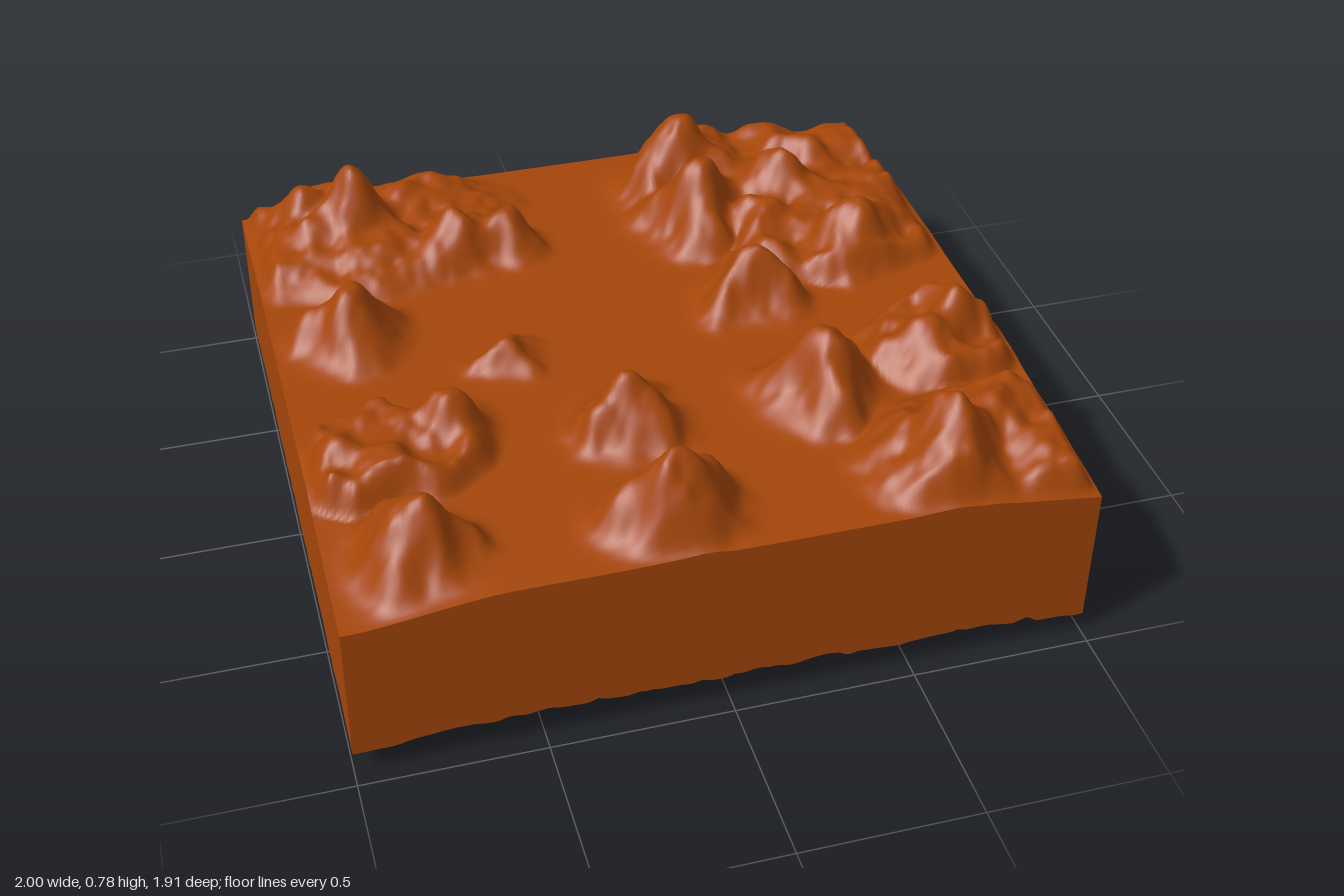
import * as THREE from 'three';

const W = 2, D = 1.91, FLOOR = 0.52;

// Main summits: x, z, top height
const SUMMITS = [
  [-0.69, -0.69, 0.77], [-0.83, -0.80, 0.69], [-0.40, -0.53, 0.67], [-0.26, -0.53, 0.65],
  [-0.78, -0.17, 0.71], [0.34, -0.76, 0.77], [0.33, -0.50, 0.75], [0.60, -0.55, 0.70],
  [0.72, -0.25, 0.71], [0.36, -0.08, 0.70], [-0.37, 0.04, 0.60], [-0.12, 0.41, 0.71],
  [-0.11, 0.82, 0.755], [0.41, 0.40, 0.74], [0.86, 0.23, 0.70], [0.73, 0.33, 0.66],
  [0.63, 0.77, 0.75], [-0.78, 0.76, 0.73], [-0.61, 0.31, 0.67], [-0.90, 0.38, 0.61],
  [-0.52, -0.82, 0.62], [0.76, -0.75, 0.65], [0.82, 0.66, 0.65], [0.50, -0.40, 0.65],
];

// Rough uplands around the valleys: x, z, radius x, radius z
const UPLANDS = [
  [-0.68, -0.72, 0.52, 0.36], [0.70, -0.68, 0.50, 0.44], [0.70, -0.28, 0.34, 0.20],
  [0.74, 0.76, 0.36, 0.30], [0.82, 0.28, 0.26, 0.20], [-0.80, 0.37, 0.32, 0.19],
];

const smooth = THREE.MathUtils.smoothstep;

// Seeded lattice noise, 0 to 1
function hash(i, j) {
  let h = Math.imul(i, 374761393) + Math.imul(j, 668265263) + 1274126177;
  h = Math.imul(h ^ (h >>> 13), 1103515245);
  return ((h ^ (h >>> 16)) >>> 0) / 4294967296;
}

function noise(x, z) {
  const i = Math.floor(x), j = Math.floor(z);
  const u = smooth(x - i, 0, 1), v = smooth(z - j, 0, 1);
  const a = hash(i, j) + (hash(i + 1, j) - hash(i, j)) * u;
  const b = hash(i, j + 1) + (hash(i + 1, j + 1) - hash(i, j + 1)) * u;
  return a + (b - a) * v;
}

const rough = (x, z, f) =>
  noise(x * f, z * f) * 0.65 + noise(x * f * 2 + 31, z * f * 2 + 17) * 0.27 + noise(x * f * 4 + 7, z * f * 4 + 53) * 0.08;

// Rounded lumps parted by creases, 0 to 1
const billow = (x, z, f) => Math.abs(noise(x * f + 40, z * f + 40) * 2 - 1);

// Each summit is a rounded knob, wider when taller, with three lower shoulders around it
const hills = [];
SUMMITS.forEach(([x, z, top], i) => {
  const h = top - FLOOR, r = 0.04 + 0.32 * h;
  hills.push({ x, z, h, r });
  for (let k = 0; k < 3; k++) {
    const angle = (hash(i, 100) + k / 3) * Math.PI * 2;
    hills.push({ x: x + Math.cos(angle) * r, z: z + Math.sin(angle) * r, h: h * (0.3 + 0.3 * hash(i, k)), r: r * 0.65 });
  }
});

const edgeDistance = (x, z) => Math.min(W / 2 - Math.abs(x), D / 2 - Math.abs(z));

// Height of the landscape: level valleys, uplands and blended hills
function topHeight(x, z) {
  const wx = x + (rough(x + 9, z, 9) - 0.5) * 0.06;
  const wz = z + (rough(x, z + 9, 9) - 0.5) * 0.06;
  let sum = 0, upland = 0;
  for (const { x: px, z: pz, h, r } of hills) {
    const d2 = ((wx - px) ** 2 + (wz - pz) ** 2) / (r * r);
    sum += (h * Math.exp(-(d2 ** 1.15))) ** 3;
  }
  for (const [ux, uz, rx, rz] of UPLANDS) {
    const d = Math.hypot((wx - ux) / rx, (wz - uz) / rz);
    upland = Math.max(upland, 1 - smooth(d, 0.7, 1.08));
  }
  const hill = Math.cbrt(sum) * (0.85 + 0.3 * rough(x, z, 13));
  const ground = upland * (0.02 + 0.11 * rough(x + 4, z + 2, 9));
  const relief = Math.cbrt(hill ** 3 + ground ** 3);
  const rim = smooth(edgeDistance(x, z), 0, 0.06);
  // The land sinks a little towards the corners of the block
  const corner = smooth(Math.abs(x), 0.55, 1) * smooth(Math.abs(z), 0.3, 0.95) * 0.045;
  return FLOOR - corner + relief * (0.12 + 0.88 * rim);
}

// Height of the lumpy underside
function bottomHeight(x, z) {
  const wx = x + (rough(x + 3, z, 8) - 0.5) * 0.1;
  const wz = z + (rough(x, z + 3, 8) - 0.5) * 0.1;
  const lump = billow(wx, wz, 9), small = billow(wx, wz, 19);
  const inside = smooth(edgeDistance(x, z), 0, 0.16);
  const corner = smooth(Math.abs(x), 0.7, 1) * smooth(Math.abs(z), 0.7, 0.95) * 0.02;
  const rimY = 0.1 - 0.025 * lump - 0.012 * small - corner;
  const deepY = 0.064 - 0.048 * lump - 0.022 * small;
  return Math.max(rimY + (deepY - rimY) * inside, 0);
}

// Horizontal sheet shaped by a height rule
function sheet(height, nx, nz, faceDown) {
  const geo = new THREE.PlaneGeometry(W, D, nx, nz).rotateX(faceDown ? Math.PI / 2 : -Math.PI / 2);
  const p = geo.attributes.position;
  for (let i = 0; i < p.count; i++) p.setY(i, height(p.getX(i), p.getZ(i)));
  geo.computeVertexNormals();
  return geo;
}

// Cut side of the block, fitted between underside and landscape
function wall(length, distance, angle, segments) {
  const geo = new THREE.PlaneGeometry(length, 1, segments, 1).translate(0, 0.5, distance).rotateY(angle);
  const p = geo.attributes.position;
  for (let i = 0; i < p.count; i++) {
    const x = p.getX(i), z = p.getZ(i);
    p.setY(i, p.getY(i) > 0.5 ? topHeight(x, z) : bottomHeight(x, z));
  }
  geo.computeVertexNormals();
  return geo;
}

export function createModel() {
  const group = new THREE.Group();
  group.name = 'terrainBlock';
  const material = new THREE.MeshStandardMaterial({ color: 0xa5460a });
  const add = (name, geo) => {
    const mesh = new THREE.Mesh(geo, material);
    mesh.name = name;
    group.add(mesh);
  };

  add('landscape', sheet(topHeight, 200, 190, false));
  add('underside', sheet(bottomHeight, 160, 152, true));
  ['frontWall', 'leftWall', 'backWall', 'rightWall'].forEach((name, i) => {
    const alongX = i % 2 === 0;
    add(name, wall(alongX ? W : D, (alongX ? D : W) / 2, i * Math.PI / 2, alongX ? 200 : 190));
  });
  return group;
}
